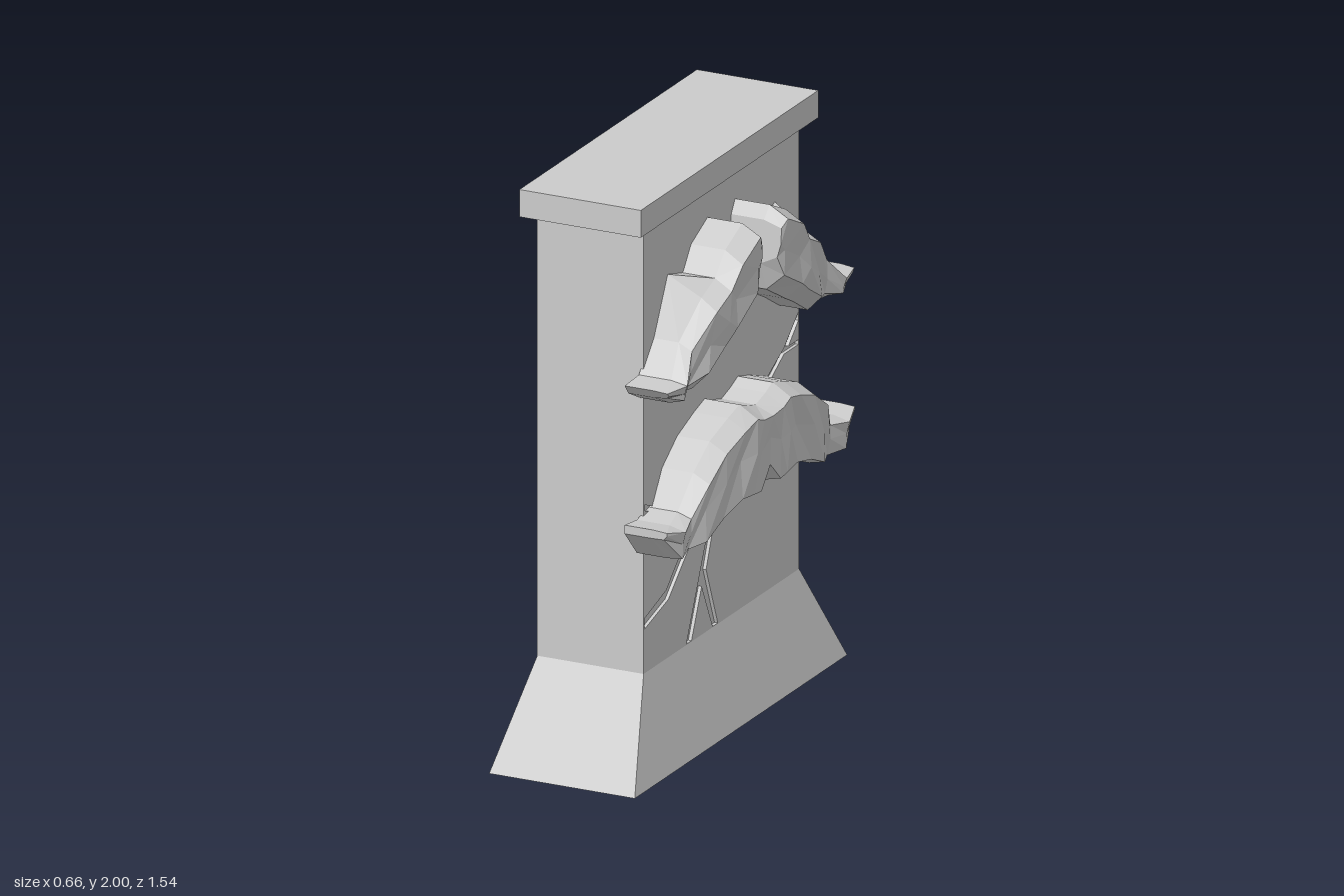
import * as THREE from 'three';

const grey = new THREE.MeshStandardMaterial({ color: 0xcccccc, flatShading: true });
const FACE = 0.13;          // x of the carved face
const GROOVE = 0.012;       // depth of the cracks
const MID = -0.065;         // x centre of the slab

function part(geometry, name, x = 0, y = 0, z = 0) {
  const mesh = new THREE.Mesh(geometry, grey);
  mesh.name = name;
  mesh.position.set(x, y, z);
  return mesh;
}

// Faceted relief: each station is { top:[z,y], bot:[z,y], x, dip, crest? }, sorted by rising z
function relief(stations, low, name) {
  const rings = stations.map(({ top, bot, x, dip, crest }) => {
    const at = (px, t) => [px, top[1] + (bot[1] - top[1]) * t, top[0] + (bot[0] - top[0]) * t];
    const depth = x - FACE;
    const ring = [
      at(FACE - 0.01, 0), at(FACE + depth * 0.65, 0), at(x, 0.13), at(x - dip, 0.5),
      at(x - 0.012, low), at(FACE + depth * 0.6, 1), at(FACE - 0.01, 1),
    ];
    if (crest) ring[0] = [FACE, crest[1], crest[0]];
    return ring;
  });
  const n = rings[0].length, last = rings.length - 1, pos = [];
  const tri = (a, b, c) => pos.push(...a, ...b, ...c);
  for (let k = 0; k < last; k++) {
    for (let i = 0; i < n; i++) {
      const j = (i + 1) % n;
      const a = rings[k][i], b = rings[k][j], c = rings[k + 1][i], d = rings[k + 1][j];
      if (k < last / 2) { tri(a, c, b); tri(b, c, d); }
      else { tri(a, d, b); tri(a, c, d); }
    }
  }
  for (let i = 1; i < n - 1; i++) {
    tri(rings[0][0], rings[0][i], rings[0][i + 1]);
    tri(rings[last][0], rings[last][i + 1], rings[last][i]);
  }
  const g = new THREE.BufferGeometry();
  g.setAttribute('position', new THREE.Float32BufferAttribute(pos, 3));
  g.computeVertexNormals();
  return part(g, name);
}

// Mirror stations across z = 0, keeping z rising
const flip = ([z, y]) => [-z, y];
const mirror = (list) => list.map((s) => ({
  ...s, top: flip(s.top), bot: flip(s.bot), crest: s.crest && flip(s.crest),
})).reverse();

// Front layer of the slab, pierced by the crack outlines ([-z, y] points)
function crackedFace() {
  const shape = new THREE.Shape([[-0.565, 0.355], [0.565, 0.355], [0.565, 1.905], [-0.565, 1.905]]
    .map(([u, v]) => new THREE.Vector2(u, v)));
  const cracks = [
    // lower branching crack
    [[-0.56, 0.545], [-0.4, 0.593], [-0.127, 0.836], [-0.01, 0.852], [-0.01, 0.83], [-0.111, 0.571],
      [-0.026, 0.358], [-0.063, 0.358], [-0.143, 0.524], [-0.217, 0.358], [-0.254, 0.358],
      [-0.053, 0.8], [-0.106, 0.8], [-0.386, 0.556], [-0.56, 0.508]],
    // upper forked crack
    [[0.31, 1.085], [0.455, 1.159], [0.56, 1.25], [0.56, 1.222], [0.487, 1.155], [0.56, 1.155],
      [0.56, 1.138], [0.455, 1.138], [0.328, 1.064]],
    // short crack at the edge
    [[-0.56, 0.942], [-0.45, 0.9], [-0.45, 0.88], [-0.56, 0.922]],
  ];
  for (const c of cracks) shape.holes.push(new THREE.Path(c.map(([u, v]) => new THREE.Vector2(u, v))));
  const g = new THREE.ExtrudeGeometry(shape, { depth: GROOVE, bevelEnabled: false });
  g.rotateY(Math.PI / 2);
  return part(g, 'crackedFace', FACE - GROOVE);
}

// Flared foot: a box widened at its lower corners
function flaredBase() {
  const g = new THREE.BoxGeometry(0.39, 0.355, 1.13);
  const p = g.attributes.position;
  for (let i = 0; i < p.count; i++) {
    if (p.getY(i) < 0) {
      p.setX(i, Math.sign(p.getX(i)) * 0.267);
      p.setZ(i, Math.sign(p.getZ(i)) * 0.772);
    }
  }
  g.computeVertexNormals();
  return part(g, 'flaredBase', MID, 0.1775);
}

export function createModel() {
  const model = new THREE.Group();
  model.name = 'stoneSlab';

  // Slab, foot and cap
  const w = 0.39 - GROOVE;
  model.add(part(new THREE.BoxGeometry(w, 1.55, 1.13), 'slab', -0.26 + w / 2, 1.13));
  model.add(crackedFace(), flaredBase());
  model.add(part(new THREE.BoxGeometry(0.445, 0.095, 1.29), 'cap', -0.0625, 1.9525));

  // Eyebrows, from the inner end to the outer tip
  const brow = [
    { top: [0.072, 1.75], bot: [0.06, 1.6], x: 0.315, dip: 0 },
    { top: [0.1, 1.795], bot: [0.095, 1.5], x: 0.325, dip: 0.01 },
    { top: [0.22, 1.74], bot: [0.24, 1.42], x: 0.322, dip: 0.02 },
    { top: [0.28, 1.66], bot: [0.31, 1.385], x: 0.312, dip: 0 },
    { top: [0.37, 1.62], bot: [0.42, 1.32], x: 0.305, dip: 0.015, crest: [0.39, 1.69] },
    { top: [0.49, 1.5], bot: [0.5, 1.32], x: 0.27, dip: 0 },
    { top: [0.58, 1.4], bot: [0.577, 1.32], x: 0.298, dip: 0.01 },
    { top: [0.683, 1.395], bot: [0.655, 1.36], x: 0.275, dip: 0 },
  ];
  model.add(relief(brow, 0.8, 'leftEyebrow'), relief(mirror(brow), 0.8, 'rightEyebrow'));

  // Moustache: one half, mirrored about its middle notch
  const half = [
    [0.07, 1.15, 0.845, 0.325, 0.01], [0.12, 1.17, 0.85, 0.325, 0], [0.2, 1.148, 0.86, 0.322, 0.02],
    [0.32, 1.105, 0.83, 0.312, 0], [0.43, 1.03, 0.785, 0.305, 0.015], [0.505, 0.915, 0.785, 0.275, 0],
    [0.595, 0.9, 0.785, 0.3, 0.01], [0.683, 0.91, 0.88, 0.275, 0],
  ].map(([z, t, b, x, dip]) => ({ top: [z, t], bot: [z, b], x, dip }));
  const notch = { top: [0, 1.13], bot: [0, 0.92], x: 0.322, dip: 0.01 };
  model.add(relief([...mirror(half), notch, ...half], 0.95, 'moustache'));

  return model;
}
